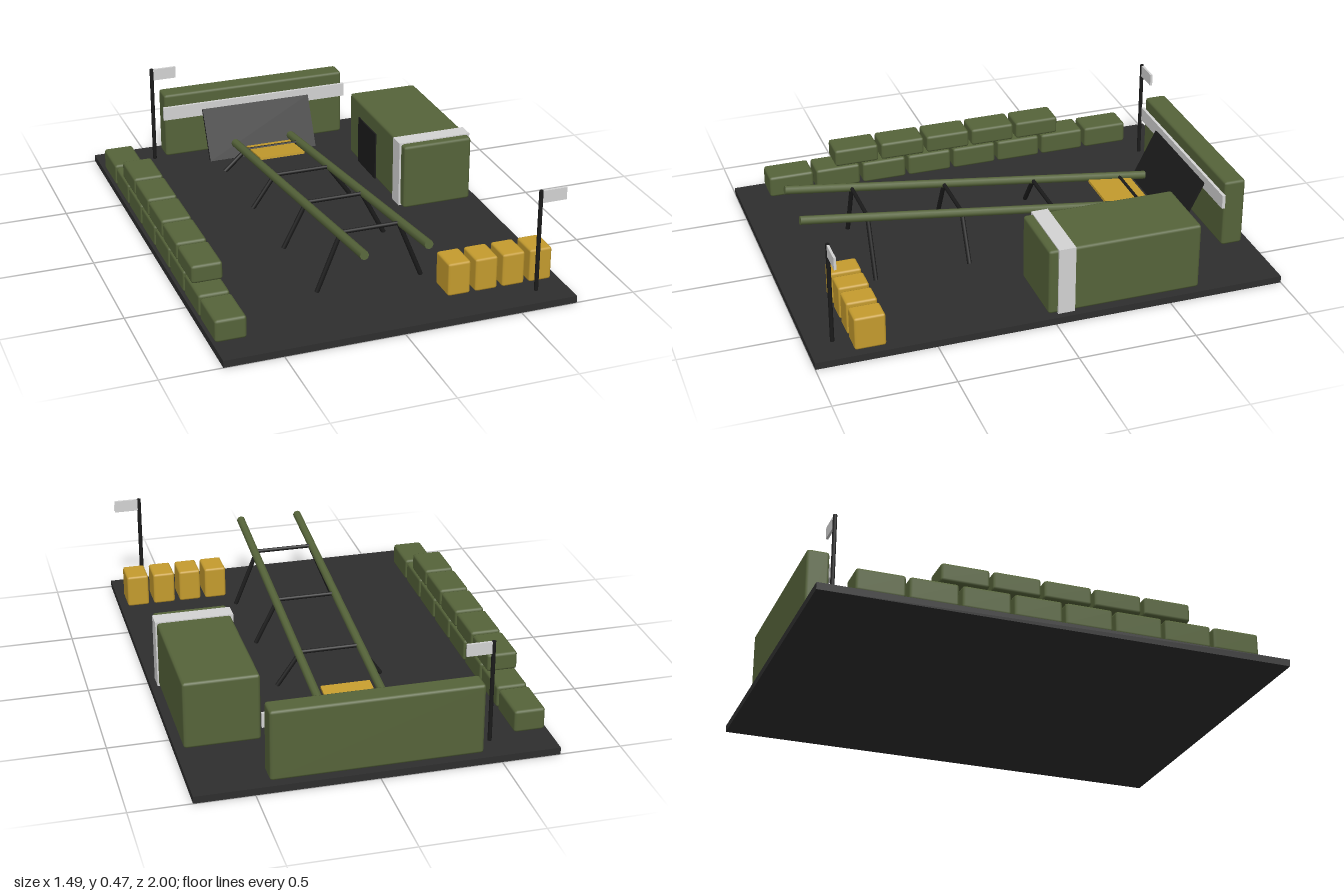
import * as THREE from 'three';
import { RoundedBoxGeometry } from 'three/addons/geometries/RoundedBoxGeometry.js';

const mat = (name, color, extra = {}) => {
  const m = new THREE.MeshStandardMaterial({ color, ...extra });
  m.name = name;
  return m;
};

export function createModel() {
  const root = new THREE.Group();
  root.name = 'launchSite';

  const ground = mat('asphalt', 0x2e2e2e);
  const black = mat('blackSteel', 0x1b1b1b);
  const green = mat('olive', 0x56643a);
  const yellow = mat('ochre', 0xc59c2e);
  const white = mat('offWhite', 0xd4d4d4);

  const add = (name, geometry, material, parent = root) => {
    const m = new THREE.Mesh(geometry, material);
    m.name = name;
    parent.add(m);
    return m;
  };
  // Boxes given by their minimum and maximum corners
  const box = (name, a, b, material, bevel = 0, parent = root) => {
    const s = b.map((v, i) => v - a[i]);
    const g = bevel ? new RoundedBoxGeometry(...s, 1, bevel) : new THREE.BoxGeometry(...s);
    const m = add(name, g, material, parent);
    m.position.set(...b.map((v, i) => (v + a[i]) / 2));
    return m;
  };
  // Round bar between two points
  const bar = (name, p, q, r, material, parent = root, sides = 8) => {
    const a = new THREE.Vector3(...p), b = new THREE.Vector3(...q);
    const d = b.clone().sub(a);
    const m = add(name, new THREE.CylinderGeometry(r, r, d.length(), sides), material, parent);
    m.position.copy(a).add(b).multiplyScalar(0.5);
    m.quaternion.setFromUnitVectors(new THREE.Vector3(0, 1, 0), d.normalize());
    return m;
  };

  const floor = 0.03;
  box('base', [-0.745, 0, -1], [0.745, floor, 1], ground);

  // Rear wall with its pale stripe
  box('rearWall', [-0.435, floor, -0.965], [0.435, 0.335, -0.87], green, 0.012);
  box('rearWallStripe', [-0.443, 0.218, -0.871], [0.443, 0.28, -0.857], white);

  // Bunker with wraparound band and doorway
  box('bunker', [0.394, floor, -0.64], [0.71, 0.323, 0.022], green, 0.012);
  box('bunkerBand', [0.385, floor, -0.09], [0.717, 0.328, -0.017], white);
  box('bunkerDoor', [0.388, floor, -0.52], [0.396, 0.25, -0.31], black);

  // Two staggered courses of sandbags
  const sandbags = new THREE.Group();
  sandbags.name = 'sandbagWall';
  root.add(sandbags);
  const course = (count, z0, y0, y1) => {
    for (let i = 0; i < count; i++) {
      const z = z0 - i * 0.2155;
      box('sandbag', [-0.735, y0, z - 0.101], [-0.604, y1, z + 0.101], green, 0.012, sandbags);
    }
  };
  course(8, 0.765, floor, 0.127);
  course(5, 0.46, 0.132, 0.211);

  // Crates
  for (const x of [0.303, 0.422, 0.542, 0.662]) {
    box('crate', [x - 0.049, floor, 0.7], [x + 0.049, 0.175, 0.83], yellow, 0.01);
  }

  // Sloping launch ramp: rails, crossbars and splayed legs
  const ramp = new THREE.Group();
  ramp.name = 'ramp';
  root.add(ramp);
  const slope = 0.13;
  const railY = z => 0.32 - slope * (0.9 - z);
  for (const s of [-1, 1]) {
    bar('rail', [s * 0.135, railY(0.897), 0.897], [s * 0.135, railY(-0.747), -0.747], 0.019, green, ramp);
  }
  for (const z of [-0.62, -0.21, 0.2, 0.61]) {
    const y = railY(z);
    bar('crossbar', [-0.135, y, z], [0.135, y, z], 0.009, black, ramp);
    for (const s of [-1, 1]) {
      bar('leg', [s * 0.125, y, z], [s * 0.227, floor, z], 0.01, black, ramp);
    }
  }

  // Sled plate lying between the rails
  const sled = add('sledPlate', new THREE.BoxGeometry(0.21, 0.011, 0.205), yellow, ramp);
  sled.position.set(0, 0.126, -0.567);
  sled.rotation.x = -Math.atan(slope);

  // Leaning blast shield
  const shield = add('blastShield', new THREE.BoxGeometry(0.518, 0.245, 0.012), black);
  shield.position.set(0, 0.14, -0.8);
  shield.rotation.x = -Math.atan2(0.11, 0.22);

  // Flagpoles
  for (const [x, z] of [[-0.49, -0.871], [0.612, 0.897]]) {
    bar('flagpole', [x, floor, z], [x, 0.475, z], 0.009, black);
    box('flag', [x + 0.006, 0.421, z - 0.005], [x + 0.112, 0.474, z + 0.005], white);
  }
  return root;
}
